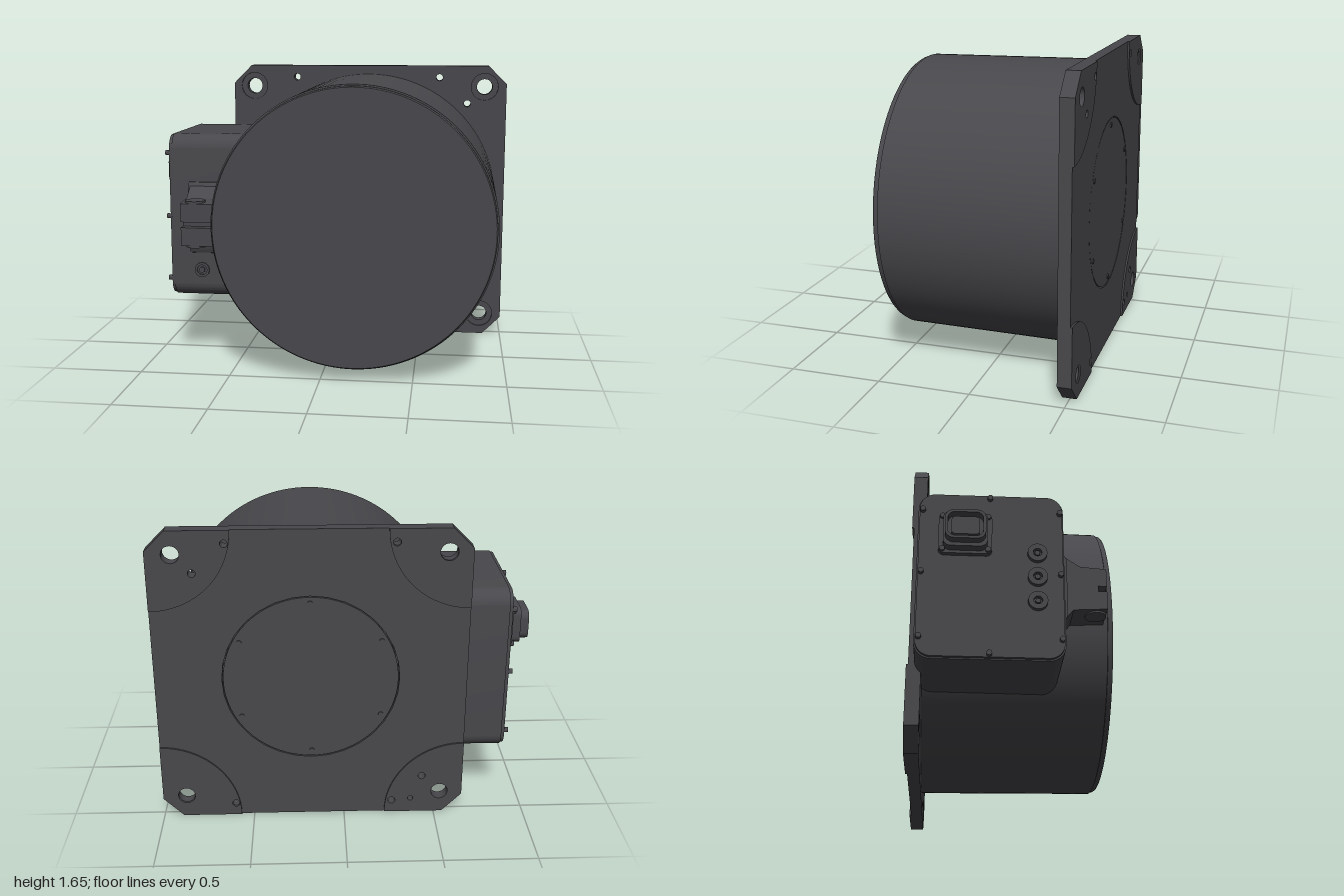
import * as THREE from 'three';
import { toCreasedNormals } from 'three/addons/utils/BufferGeometryUtils.js';

const CX = 0.175, CY = 0.828; // motor axis

export function createModel() {
  const model = new THREE.Group();
  const material = new THREE.MeshStandardMaterial({ color: 0x48484c });

  const add = (name, geometry, x = 0, y = 0, z = 0, parent = model) => {
    const mesh = new THREE.Mesh(toCreasedNormals(geometry, 0.5), material);
    mesh.name = name;
    mesh.position.set(x, y, z);
    parent.add(mesh);
    return mesh;
  };
  const extrude = (shape, depth) =>
    new THREE.ExtrudeGeometry(shape, { depth, bevelEnabled: false, curveSegments: 16 });
  // Shape drawn in (z, y), extruded towards -x
  const extrudeLeft = (shape, depth) => extrude(shape, depth).rotateY(-Math.PI / 2);
  const cylinderX = (r, length, sides = 24) =>
    new THREE.CylinderGeometry(r, r, length, sides).rotateZ(Math.PI / 2);
  const cylinderZ = (r, length, sides = 24) =>
    new THREE.CylinderGeometry(r, r, length, sides).rotateX(Math.PI / 2);
  const hole = (x, y, r) => new THREE.Path().absarc(x, y, r, 0, Math.PI * 2, true);
  const polygon = (pts) => new THREE.Shape(pts.map(([x, y]) => new THREE.Vector2(x, y)));
  const roundedRect = (x0, y0, x1, y1, r) => {
    const s = new THREE.Shape();
    s.absarc(x1 - r, y0 + r, r, -Math.PI / 2, 0);
    s.absarc(x1 - r, y1 - r, r, 0, Math.PI / 2);
    s.absarc(x0 + r, y1 - r, r, Math.PI / 2, Math.PI);
    s.absarc(x0 + r, y0 + r, r, Math.PI, Math.PI * 1.5);
    s.closePath();
    return s;
  };

  // Mounting plate: chamfered square, counterbored corner holes and small holes
  const L = -0.655, R = 1, T = 1.655, C = 0.108;
  const mounts = [[-0.53, 0.128], [0.87, 0.128], [0.87, 1.53], [-0.53, 1.53]];
  const smallHoles = [
    [-0.265, 1.585, 0.02], [0.6, 1.585, 0.02], [0.768, 1.43, 0.02], [-0.43, 0.228, 0.02],
    [-0.37, 0.085, 0.015], [-0.265, 0.073, 0.02], [0.6, 0.073, 0.02],
  ];
  const plateShape = (mountRadius, boreRadius) => {
    const s = polygon([[L + C, 0], [R - C, 0], [R, C], [R, T - C], [R - C, T], [L + C, T], [L, T - C], [L, C]]);
    mounts.forEach(([x, y]) => s.holes.push(hole(x, y, mountRadius)));
    smallHoles.forEach(([x, y, r]) => s.holes.push(hole(x, y, r)));
    s.holes.push(hole(CX, CY, boreRadius));
    return s;
  };
  const plate = new THREE.Group();
  plate.name = 'mountingPlate';
  model.add(plate);
  add('plateFront', extrude(plateShape(0.08, 0.47), 0.01), 0, 0, -0.47, plate);
  add('plateBack', extrude(plateShape(0.046, 0.47), 0.055), 0, 0, -0.525, plate);

  // Raised quarter-round pads on the back corners
  const padRadius = 0.43;
  mounts.forEach(([mx, my], i) => {
    const right = mx > 0, top = my > 1;
    const px = right ? R : L, py = top ? T : 0;
    const sx = right ? -1 : 1, sy = top ? -1 : 1;
    const pts = [[px, py + sy * C], [px + sx * C, py]];
    for (let k = 0; k <= 20; k++) {
      const a = (k / 20) * Math.PI / 2;
      pts.push([px + sx * padRadius * Math.cos(a), py + sy * padRadius * Math.sin(a)]);
    }
    const pad = polygon(pts);
    pad.holes.push(hole(mx, my, 0.046));
    smallHoles.forEach(([x, y, r]) => {
      if (Math.hypot(x - px, y - py) < padRadius - r) pad.holes.push(hole(x, y, r));
    });
    add('cornerPad' + (i + 1), extrude(pad, 0.01), 0, 0, -0.535, plate);
  });

  // Round rear cover with a thin gap and six screws
  add('rearCover', cylinderZ(0.463, 0.063, 96), CX, CY, -0.4925);
  for (let i = 0; i < 6; i++) {
    const a = Math.PI / 2 + (i * Math.PI) / 3;
    add('rearCoverScrew', cylinderZ(0.014, 0.01, 16),
      CX + 0.43 * Math.cos(a), CY + 0.43 * Math.sin(a), -0.525);
  }

  // Slightly tapered motor housing with a stepped front rim
  const profile = [[0, -0.462], [0.775, -0.462], [0.764, 0.5], [0.756, 0.503], [0.755, 0.522], [0.749, 0.53], [0, 0.53]];
  add('housing', new THREE.LatheGeometry(profile.map(([r, z]) => new THREE.Vector2(r, z)), 128)
    .rotateX(Math.PI / 2), CX, CY, 0);

  // Terminal box on the right side, with its cover
  add('terminalBox', extrudeLeft(roundedRect(-0.495, 0.37, 0.245, 1.295, 0.085), 0.465), -0.4);
  add('terminalBoxCover', extrudeLeft(roundedRect(-0.488, 0.377, 0.238, 1.288, 0.08), 0.017), -0.865);
  const coverScrews = [[-0.13, 1.268], [-0.13, 0.392]];
  for (const z of [-0.472, 0.225]) for (const y of [0.475, 0.832, 1.19]) coverScrews.push([z, y]);
  coverScrews.forEach(([z, y]) => add('coverScrew', cylinderX(0.014, 0.03, 16), -0.889, y, z));

  // Connector: flange, stepped shell, hollow socket
  const CYC = 1.045, CZC = -0.255;
  const square = (hz, hy, r) => roundedRect(-hz, -hy, hz, hy, r);
  const connector = new THREE.Group();
  connector.name = 'connector';
  connector.position.set(-0.88, CYC, CZC);
  model.add(connector);
  add('flange', extrudeLeft(square(0.135, 0.115, 0.03), 0.028), 0, 0, 0, connector);
  add('shell', extrudeLeft(square(0.112, 0.1, 0.04), 0.075), 0, 0, 0, connector);
  const socket = square(0.102, 0.082, 0.045);
  socket.holes.push(square(0.088, 0.068, 0.035));
  add('socketRim', extrudeLeft(socket, 0.05), -0.07, 0, 0, connector);
  add('socketInsert', extrudeLeft(square(0.07, 0.05, 0.02), 0.035), -0.07, 0, 0, connector);
  for (const z of [-0.115, 0.115]) for (const y of [-0.095, 0.095])
    add('flangeScrew', cylinderX(0.014, 0.016, 16), -0.034, y, z, connector);

  // Three round plugs beside the connector
  for (const y of [0.95, 0.815, 0.68]) {
    const ring = new THREE.Shape().absarc(0, 0, 0.049, 0, Math.PI * 2);
    ring.holes.push(hole(0, 0, 0.022));
    add('plugRing', extrudeLeft(ring, 0.024), -0.881, y, 0.108);
    add('plugCentre', cylinderX(0.014, 0.018, 6), -0.889, y, 0.108);
  }

  // Sloped lug in front of the terminal box, with a central slot
  const lug = polygon([
    [0.22, 0.63], [0.245, 0.64], [0.3, 0.705], [0.475, 0.715], [0.475, 0.815], [0.43, 0.815],
    [0.43, 0.845], [0.475, 0.845], [0.475, 0.945], [0.34, 0.955], [0.245, 1.02], [0.22, 1.03],
  ]);
  add('lug', extrudeLeft(lug, 0.26), -0.5);
  add('lugFoot', extrudeLeft(polygon([[0.22, 0.62], [0.25, 0.63], [0.27, 0.67], [0.27, 0.99], [0.25, 1.03], [0.22, 1.04]]), 0.27), -0.5);
  for (const y of [0.732, 0.928])
    add('lugBoss', new THREE.CylinderGeometry(0.055, 0.055, 0.06, 32), -0.69, y, 0.42);

  // Earth screw on the front of the terminal box
  const washer = new THREE.Shape().absarc(0, 0, 0.042, 0, Math.PI * 2);
  washer.holes.push(hole(0, 0, 0.028));
  add('earthWasher', extrude(washer, 0.012), -0.705, 0.53, 0.243);
  add('earthScrew', cylinderZ(0.018, 0.014, 6), -0.705, 0.53, 0.25);

  return model;
}
